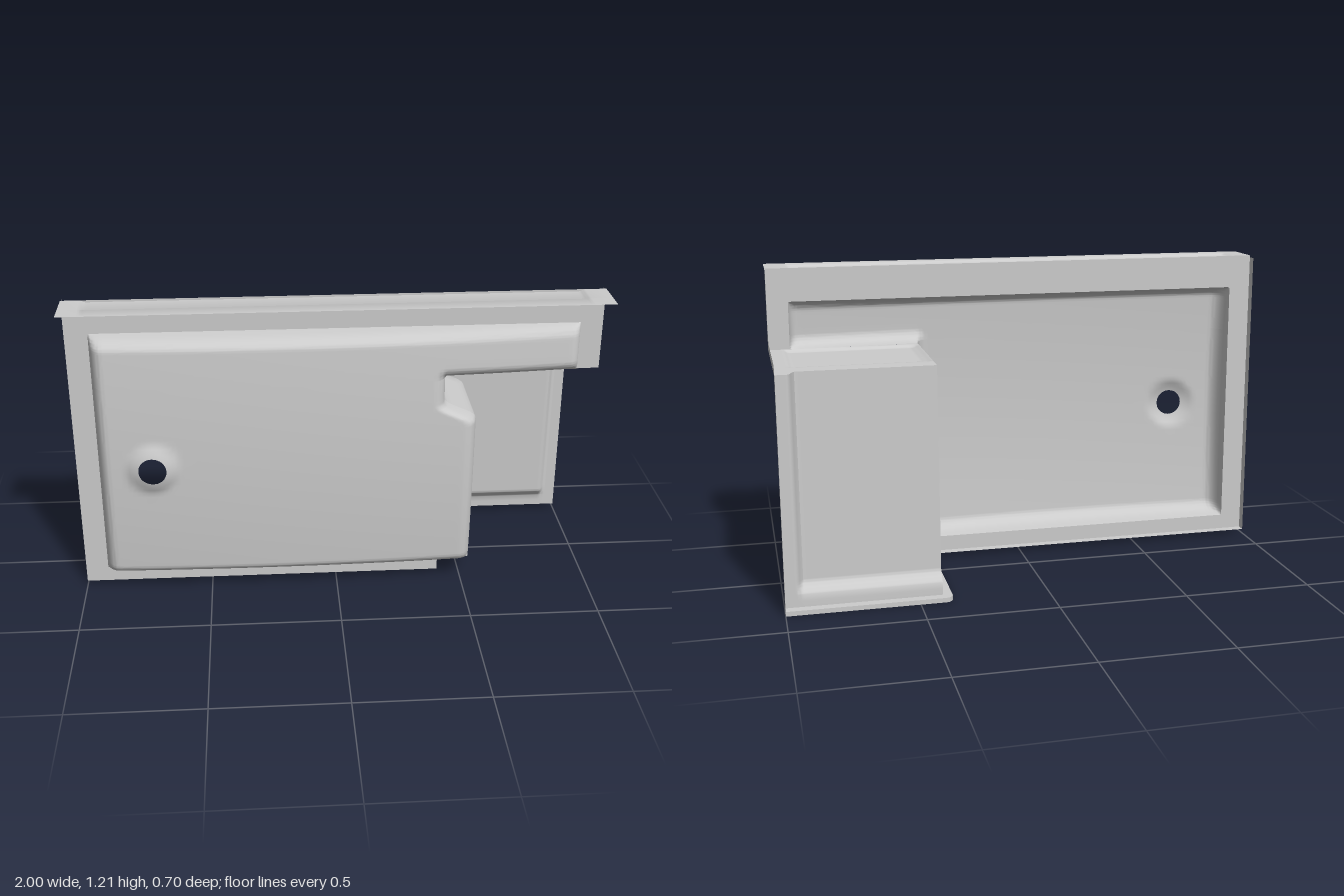
import * as THREE from 'three';
import { toCreasedNormals } from 'three/addons/utils/BufferGeometryUtils.js';

const material = new THREE.MeshStandardMaterial({ color: 0xcccccc, side: THREE.DoubleSide });

const TOP = 1.205, BASE = 0.018, CEIL = 0.895; // panel top, panel bottom, niche ceiling
const FACE = 0.185, BACK = -0.315, SIDE = 0.41; // flange planes of the three walls
const LIP = 0.036;
const HOLE = { x: -0.7, y: 0.57, r: 0.053, inner: 0.05, outer: 0.12 };

const clamp = (t) => Math.min(1, Math.max(0, t));
const ramp = (a, b, t) => clamp((t - a) / (b - a));
const smooth = (a, b, t) => { const s = ramp(a, b, t); return s * s * (3 - 2 * s); };
const lerp = THREE.MathUtils.lerp;
// Quarter-round rise over distance w
const round = (d, w) => Math.sqrt(1 - (1 - clamp(d / w)) ** 2);

// Grid lines through all break points, with n cells in each span
function lines(breaks, counts) {
  const out = [breaks[0]];
  counts.forEach((n, i) => {
    for (let k = 1; k <= n; k++) out.push(lerp(breaks[i], breaks[i + 1], k / n));
  });
  return out;
}

// Sheet of quads over two sets of grid lines, placed by a rule
function sheet(name, us, vs, place, skip = () => false) {
  const pos = [], index = [], w = us.length;
  for (const v of vs) for (const u of us) pos.push(...place(u, v));
  for (let j = 0; j < vs.length - 1; j++) {
    for (let i = 0; i < w - 1; i++) {
      if (skip((us[i] + us[i + 1]) / 2, (vs[j] + vs[j + 1]) / 2)) continue;
      const a = j * w + i;
      index.push(a, a + 1, a + w + 1, a, a + w + 1, a + w);
    }
  }
  const g = new THREE.BufferGeometry();
  g.setAttribute('position', new THREE.Float32BufferAttribute(pos, 3));
  g.setIndex(index);
  const mesh = new THREE.Mesh(toCreasedNormals(g, 0.7), material);
  mesh.name = name;
  return mesh;
}

// Right edge of the lower front panel, bulging into the niche
const edgeX = (y) => SIDE + 0.125 * ramp(0.066, 0.074, y) * (1 - smooth(0.71, 0.795, y));

// Depth of the front panel: raised rounded field, slight dome, boss around the hole
function frontZ(x, y) {
  let k = round(x + 0.91, 0.05) * round(y - 0.082, 0.05) * round(1.08 - y, 0.045);
  let edge;
  if (y >= CEIL) {
    k *= round(0.915 - x, 0.04);
    edge = x > SIDE ? y - CEIL : Math.hypot(x - SIDE, y - CEIL);
  } else edge = edgeX(y) - x;
  const dome = 0.022 * (1 - ((y - 0.57) / 0.52) ** 2) - 0.04 * (x + 0.25) ** 2;
  const boss = 0.02 * (1 - smooth(0.053, 0.11, Math.hypot(x - HOLE.x, y - HOLE.y)));
  const fillet = 0.07 * (1 - round(edge, 0.05));
  return FACE + k * Math.max(0, 0.093 + dome + boss - fillet);
}

// Depth of the niche's back wall with its raised field
const backZ = (x, y) =>
  BACK + (0.032 + 0.02 * y) * smooth(0.955, 0.925, x) * smooth(0.06, 0.11, y);

// Front panel position; opens the square grid cells into a round hole
function lowerFront(u, v) {
  let x = u > 0.3 ? lerp(0.3, edgeX(v), (u - 0.3) / (SIDE - 0.3)) : u;
  let y = v;
  const dx = x - HOLE.x, dy = y - HOLE.y, m = Math.max(Math.abs(dx), Math.abs(dy));
  if (m > 1e-6 && m < HOLE.outer) {
    const t = ramp(HOLE.inner, HOLE.outer, m);
    const s = lerp(HOLE.r / Math.hypot(dx, dy), HOLE.outer / m, t);
    x = HOLE.x + dx * s;
    y = HOLE.y + dy * s;
  }
  return [x, y, frontZ(x, y)];
}

// Flat outline mesh
function flat(name, points) {
  const mesh = new THREE.Mesh(new THREE.ShapeGeometry(new THREE.Shape(points)), material);
  mesh.name = name;
  return mesh;
}

// Rounds the corners of an open 2D path
function rounded(pts, r) {
  const out = [pts[0]];
  for (let i = 1; i < pts.length - 1; i++) {
    const p = pts[i];
    const a = p.clone().add(pts[i - 1].clone().sub(p).setLength(r));
    const b = p.clone().add(pts[i + 1].clone().sub(p).setLength(r));
    out.push(...new THREE.QuadraticBezierCurve(a, p, b).getPoints(8));
  }
  return [...out, pts[pts.length - 1]];
}
const path = (...p) => p.map(([x, y]) => new THREE.Vector2(x, y));

export function createModel() {
  const group = new THREE.Group();
  const leftCols = [-1, -0.92, -0.84, -0.82, -0.75, -0.65, -0.58, 0.3, SIDE];
  const leftCounts = [3, 12, 1, 4, 6, 4, 18, 16];
  const rows = lines([BASE, 0.066, 0.074, 0.15, 0.45, 0.52, 0.62, 0.69, 0.8, CEIL],
    [2, 2, 15, 8, 4, 6, 4, 10, 5]);

  // Front panel: lower part with the hole, and the full-width upper band
  const inHole = (x, y) =>
    Math.max(Math.abs(x - HOLE.x), Math.abs(y - HOLE.y)) < HOLE.inner;
  group.add(sheet('lowerFrontPanel', lines(leftCols, leftCounts), rows, lowerFront, inHole));
  group.add(sheet('upperFrontPanel',
    lines([...leftCols, 0.85, 0.93, 1], [...leftCounts, 10, 12, 3]),
    lines([CEIL, 0.95, 1.02, 1.082, TOP], [10, 3, 14, 3]),
    (x, y) => [x, y, frontZ(x, y)]));

  // Niche side wall: flat strip at the back, slope, then the inward bulge
  group.add(sheet('nicheSideWall', lines([0, 1, 2, 3], [5, 4, 6]), rows, (t, y) => {
    const stops = [backZ(SIDE, y), -0.17, -0.1, frontZ(edgeX(y), y)];
    const i = Math.min(2, Math.floor(t));
    const x = SIDE + (edgeX(y) - SIDE) * ramp(1, 2, t);
    return [x, y, lerp(stops[i], stops[i + 1], t - i)];
  }));

  // Niche back wall and ceiling
  const cols = lines([SIDE, 0.46, 0.9, 0.97, 1], [5, 6, 10, 2]);
  group.add(sheet('nicheBackWall', cols, rows, (x, y) => [x, y, backZ(x, y)]));
  group.add(sheet('nicheCeiling', cols, lines([0, 1], [50]), (x, t) => {
    const z = lerp(backZ(x, CEIL), frontZ(x, CEIL), t);
    const drop = smooth(0.95, 0.92, x) * smooth(0.41, 0.44, x)
      * smooth(-0.185, -0.155, z) * smooth(0.185, 0.165, z);
    return [x, CEIL - 0.011 * drop, z];
  }));

  // Forward flange along the top, with a shallow sunken strip
  group.add(sheet('topFlange',
    lines([-1, -0.93, -0.9, 0.89, 0.92, 1], [1, 4, 1, 4, 1]),
    lines([FACE, 0.27, 0.285, 0.35], [1, 4, 1]),
    (x, z) => {
      const sunk = smooth(-0.93, -0.91, x) * smooth(0.92, 0.9, x) * smooth(0.285, 0.273, z);
      return [x, 1.213 - 0.008 * sunk, z];
    }));
  group.add(sheet('topEdge', [-1, 1], [TOP, 1.213], (x, y) => [x, y, FACE]));

  // Turned-back lip along the model's left edge, stepping round the niche
  const lipInner = path([-FACE, TOP], [-FACE, CEIL], [-BACK, CEIL], [-BACK, BASE]);
  const lipOuter = rounded(path([LIP - FACE, TOP], [LIP - FACE, CEIL + LIP],
    [LIP - BACK, CEIL + LIP], [LIP - BACK, 0]), 0.06);
  const sideLip = flat('leftEdgeLip', [...lipInner, ...lipOuter.reverse()]);
  sideLip.rotation.y = Math.PI / 2;
  sideLip.position.x = 1;
  group.add(sideLip);

  // Straight lip along the right edge
  group.add(sheet('rightEdgeLip', [FACE - LIP, FACE], [BASE, TOP], (z, y) => [-1, y, z]));

  // Outward lip along the bottom
  const baseInner = path([-1, -FACE], [SIDE, -FACE], [SIDE, -BACK], [1, -BACK]);
  const baseOuter = rounded(path([-1, LIP - FACE], [SIDE - LIP, LIP - FACE],
    [SIDE - LIP, LIP - BACK], [1, LIP - BACK]), 0.035);
  const bottomLip = flat('bottomLip', [...baseInner, ...baseOuter.slice().reverse()]);
  bottomLip.rotation.x = -Math.PI / 2;
  bottomLip.position.y = BASE;
  group.add(bottomLip);

  // Short downturn of the bottom lip around the niche
  const turn = baseOuter.slice(5);
  group.add(sheet('bottomLipEdge', turn.map((_, i) => i), [0, BASE],
    (i, y) => [turn[i].x, y, -turn[i].y]));

  return group;
}
